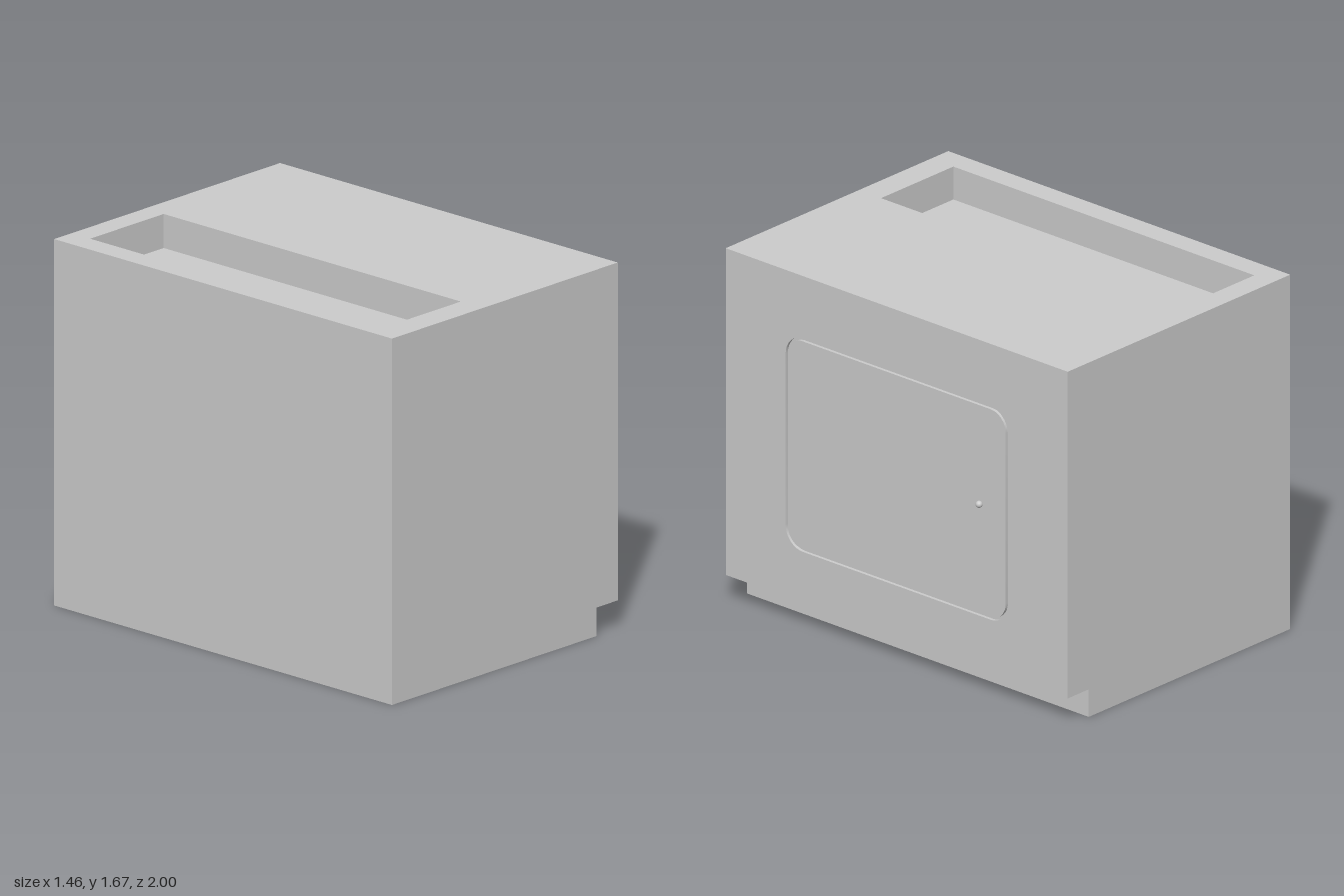
import * as THREE from 'three';
import { toCreasedNormals } from 'three/addons/utils/BufferGeometryUtils.js';

const material = new THREE.MeshStandardMaterial({ color: 0xcccccc });
const V = (x, y) => new THREE.Vector2(x, y);

// Counter-clockwise rectangle outline, optionally with rounded corners
function outline(x0, y0, x1, y1, r = 0, steps = 8) {
  if (!r) return [V(x0, y0), V(x1, y0), V(x1, y1), V(x0, y1)];
  const centres = [[x1 - r, y0 + r, -1], [x1 - r, y1 - r, 0], [x0 + r, y1 - r, 1], [x0 + r, y0 + r, 2]];
  const pts = [];
  for (const [cx, cy, quarter] of centres) {
    for (let i = 0; i <= steps; i++) {
      const a = (quarter + i / steps) * Math.PI / 2;
      pts.push(V(cx + r * Math.cos(a), cy + r * Math.sin(a)));
    }
  }
  return pts;
}

// Flat face in local XY at height z, with an optional hole
function face(pts, z, hole) {
  const shape = new THREE.Shape(pts);
  if (hole) shape.holes.push(new THREE.Path(hole));
  return new THREE.ShapeGeometry(shape).translate(0, 0, z);
}

// Walls along a path from z0 to z1, facing outward for counter-clockwise paths
function walls(pts, z0, z1, closed = true) {
  const pos = [];
  const count = closed ? pts.length : pts.length - 1;
  for (let i = 0; i < count; i++) {
    const p = pts[i], q = pts[(i + 1) % pts.length];
    pos.push(p.x, p.y, z0, q.x, q.y, z0, q.x, q.y, z1);
    pos.push(p.x, p.y, z0, q.x, q.y, z1, p.x, p.y, z1);
  }
  const geo = new THREE.BufferGeometry();
  geo.setAttribute('position', new THREE.Float32BufferAttribute(pos, 3));
  geo.computeVertexNormals();
  return toCreasedNormals(geo, Math.PI / 6);
}

export function createModel() {
  const model = new THREE.Group();
  const add = (name, geo, parent = model) => {
    const mesh = new THREE.Mesh(geo, material);
    mesh.name = name;
    parent.add(mesh);
    return mesh;
  };
  const back = -0.73, front = 0.70, kick = 0.565, kickTop = 0.13, top = 1.67;

  // Cabinet ends, back, underside and toe kick
  const profile = [V(back, top), V(back, 0), V(kick, 0), V(kick, kickTop), V(front, kickTop), V(front, top)];
  add('leftEnd', face(profile, 1));
  add('rightEnd', face(profile.map(p => V(-p.x, p.y)), 1)).rotation.y = Math.PI;
  add('backBaseAndToeKick', walls(profile.slice(0, 5), -1, 1, false));

  // Countertop with a sunken tray
  const counter = new THREE.Group();
  counter.name = 'countertop';
  counter.rotation.x = -Math.PI / 2;
  model.add(counter);
  const tray = outline(-0.62, -0.87, -0.155, 0.89);
  const trayFloor = top - 0.155;
  add('counterSurface', face(outline(back, -1, front, 1), top, tray), counter);
  add('trayWalls', walls([...tray].reverse(), trayFloor, top), counter);
  add('trayFloor', face(tray, trayFloor), counter);

  // Door side with a narrow groove around the door
  const side = new THREE.Group();
  side.name = 'doorSide';
  side.rotation.y = Math.PI / 2;
  model.add(side);
  const gap = 0.013, grooveFloor = front - 0.015;
  const opening = outline(-0.65, 0.37, 0.65, 1.375, 0.1);
  const door = outline(-0.65 + gap, 0.37 + gap, 0.65 - gap, 1.375 - gap, 0.1 - gap);
  add('doorFrame', face(outline(-1, kickTop, 1, top), front, opening), side);
  add('grooveOuterWall', walls([...opening].reverse(), grooveFloor, front), side);
  add('grooveFloor', face(opening, grooveFloor, door), side);
  add('doorEdge', walls(door, grooveFloor, front), side);
  add('doorPanel', face(door, front), side);

  // Small round knob
  add('doorKnob', new THREE.SphereGeometry(0.016, 16, 10), side).position.set(0.49, 0.9, front + 0.009);

  return model;
}
